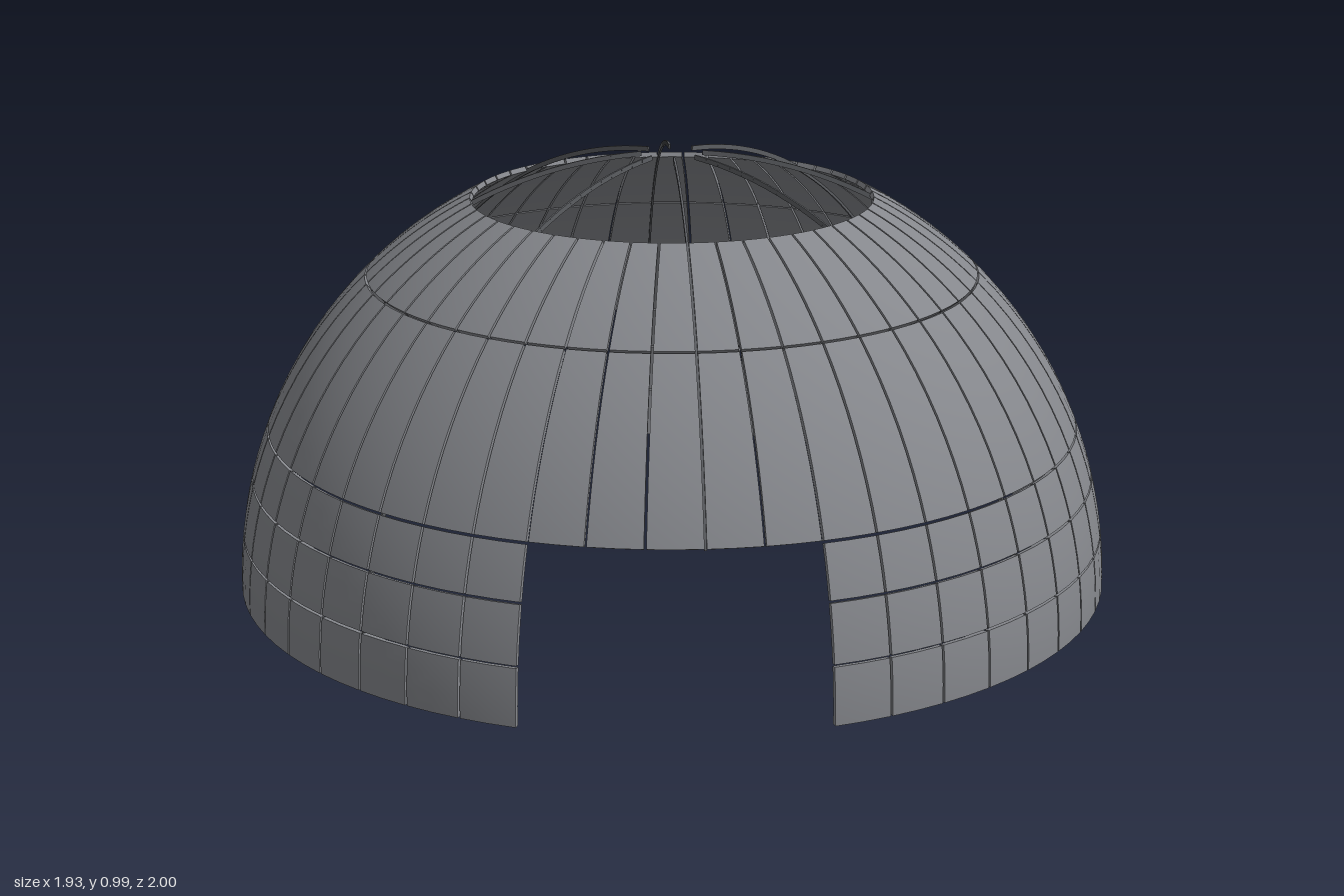
import * as THREE from 'three';
import { mergeGeometries } from 'three/addons/utils/BufferGeometryUtils.js';

const RAD = Math.PI / 180;
const STEP = 7.5; // degrees per panel column
const COLUMNS = 48;

// Bends a box into a curved patch of a sphere: azimuth a, elevation e (degrees), radius r.
// Half-gaps are distances along the surface.
function shellPatch(a0, a1, e0, e1, r0, r1, gap = 0, segA = 2, segE = 4) {
  const geo = new THREE.BoxGeometry(1, 1, 1, segA, segE, 1);
  const pos = geo.attributes.position;
  const nor = geo.attributes.normal;
  const right = new THREE.Vector3(), up = new THREE.Vector3(), out = new THREE.Vector3();
  const n = new THREE.Vector3();
  for (let i = 0; i < pos.count; i++) {
    const u = pos.getX(i), v = pos.getY(i), w = pos.getZ(i);
    const e = THREE.MathUtils.lerp(e0 * RAD + gap, e1 * RAD - gap, v + 0.5);
    const trim = gap / Math.cos(e);
    const a = THREE.MathUtils.lerp(a0 * RAD + trim, a1 * RAD - trim, u + 0.5);
    const r = THREE.MathUtils.lerp(r0, r1, w + 0.5);
    right.set(Math.cos(a), 0, -Math.sin(a));
    out.set(Math.cos(e) * Math.sin(a), Math.sin(e), Math.cos(e) * Math.cos(a));
    up.crossVectors(out, right);
    n.set(0, 0, 0)
      .addScaledVector(right, nor.getX(i))
      .addScaledVector(up, nor.getY(i))
      .addScaledVector(out, nor.getZ(i));
    pos.setXYZ(i, out.x * r, out.y * r, out.z * r);
    nor.setXYZ(i, n.x, n.y, n.z);
  }
  return geo;
}

// Columns left open in the lowest rows
const isOpening = (i) => (i >= 3 && i < 8) || (i >= 30 && i < 39);

export function createModel() {
  const group = new THREE.Group();
  group.name = 'panelledDome';
  const panelGrey = new THREE.MeshStandardMaterial({ color: 0x85878c });
  panelGrey.name = 'panelGrey';
  const ribGrey = new THREE.MeshStandardMaterial({ color: 0x5c5e62 });
  ribGrey.name = 'ribGrey';

  const add = (name, parts, material) => {
    const mesh = new THREE.Mesh(mergeGeometries(parts), material);
    mesh.name = name;
    mesh.position.x = -0.04;
    group.add(mesh);
  };

  // Rows of panels with narrow seams between them
  const rows = [
    ['lowerPanels', 0, 7.5, true],
    ['middlePanels', 7.5, 15, true],
    ['upperWallPanels', 15, 22, true],
    ['shoulderPanels', 22, 46, false],
    ['crownPanels', 46, 63, false],
  ];
  for (const [name, e0, e1, broken] of rows) {
    const parts = [];
    for (let i = 0; i < COLUMNS; i++) {
      if (broken && isOpening(i)) continue;
      parts.push(shellPatch(i * STEP, (i + 1) * STEP, e0, e1, 0.988, 1, 0.0025, 2, e1 - e0 > 10 ? 8 : 3));
    }
    add(name, parts, panelGrey);
  }

  // Thin arched ribs behind the seams, reaching over the round top opening
  const ribs = [];
  for (let k = 0; k < 8; k++) {
    const a = k * 45;
    const column = k * 6;
    const start = isOpening(column) ? 22 : 0;
    // Split into short lengths so the rib keeps an even width
    for (let e = start; e < 86; e += 2) {
      const half = 0.0025 / Math.cos((e + 1) * RAD) / RAD;
      ribs.push(shellPatch(a - half, a + half, e, Math.min(e + 2, 86), 0.982, 0.993, 0, 1, 1));
    }
  }
  add('ribs', ribs, ribGrey);

  return group;
}
